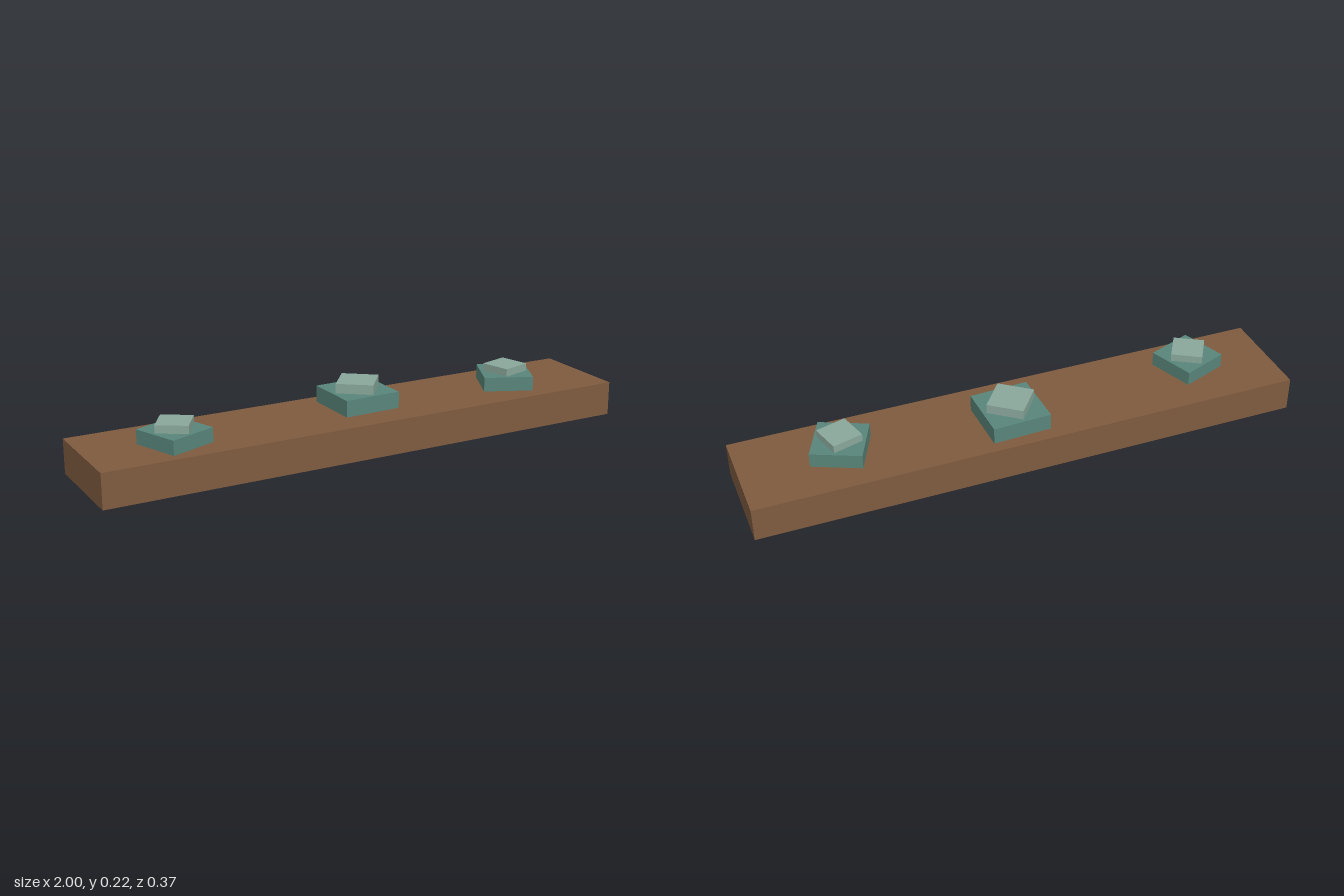
import * as THREE from 'three';

const plankBrown = new THREE.MeshStandardMaterial({ color: 0x7f5b3f, side: THREE.DoubleSide });
const stoneGreen = new THREE.MeshStandardMaterial({ color: 0x58857a, side: THREE.DoubleSide });
const paleGreen = new THREE.MeshStandardMaterial({ color: 0x8aa89c, side: THREE.DoubleSide });

// Box standing on y = 0 without its bottom face
function openBox(name, width, height, depth, material) {
  const geometry = new THREE.BoxGeometry(width, height, depth);
  const index = Array.from(geometry.index.array);
  index.splice(18, 6);
  geometry.setIndex(index);
  geometry.clearGroups();
  geometry.translate(0, height / 2, 0);
  const mesh = new THREE.Mesh(geometry, material);
  mesh.name = name;
  return mesh;
}

const PLANK_HEIGHT = 0.125;

// Two stacked square slabs, each with its own turn
const clumps = [
  { name: 'rightClump', x: -0.69, z: 0.037, base: [0.178, 0.052, 0.368], cap: [0.113, 0.028, 1.026] },
  { name: 'middleClump', x: 0.037, z: -0.033, base: [0.214, 0.06, 0.036], cap: [0.134, 0.035, 0.914] },
  { name: 'leftClump', x: 0.642, z: 0.011, base: [0.181, 0.052, 1.144], cap: [0.113, 0.028, 0.277] },
];

export function createModel() {
  const model = new THREE.Group();
  model.name = 'plankWithClumps';

  // Long hollow plank
  model.add(openBox('plank', 2, PLANK_HEIGHT, 0.374, plankBrown));

  // Clumps on top of the plank
  for (const { name, x, z, base, cap } of clumps) {
    const clump = new THREE.Group();
    clump.name = name;
    clump.position.set(x, PLANK_HEIGHT, z);

    const lower = openBox('lowerSlab', base[0], base[1], base[0], stoneGreen);
    lower.rotation.y = base[2];

    const upper = openBox('upperSlab', cap[0], cap[1], cap[0], paleGreen);
    upper.position.y = base[1];
    upper.rotation.y = cap[2];

    clump.add(lower, upper);
    model.add(clump);
  }
  return model;
}
